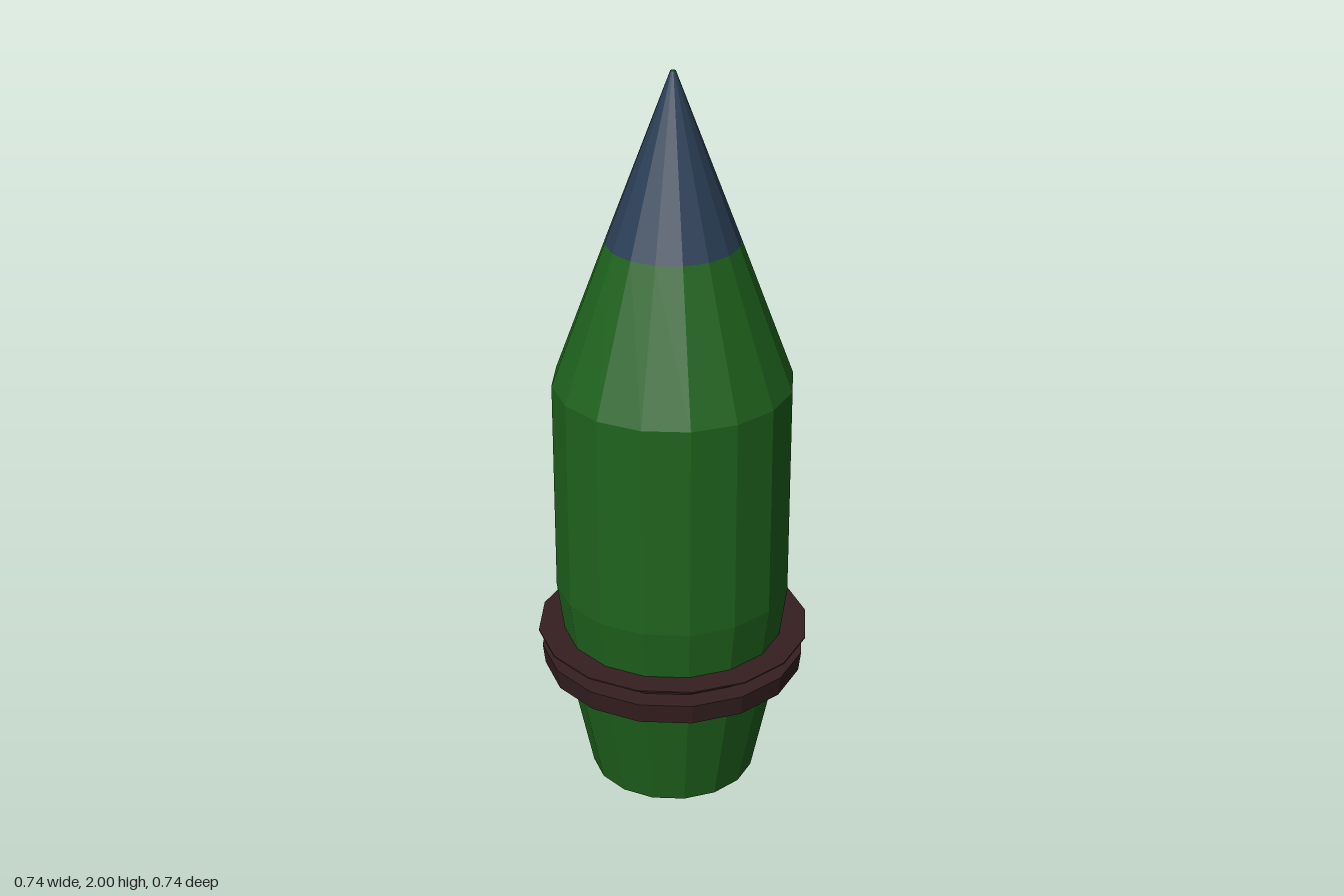
import * as THREE from 'three';

const SIDES = 16;

// Faceted solid of revolution from [radius, height] pairs, bottom to top
function turned(name, color, profile) {
  const points = profile.map(([r, y]) => new THREE.Vector2(r, y));
  const material = new THREE.MeshStandardMaterial({
    color, flatShading: true, side: THREE.DoubleSide,
  });
  const mesh = new THREE.Mesh(new THREE.LatheGeometry(points, SIDES), material);
  mesh.name = name;
  return mesh;
}

export function createModel() {
  const model = new THREE.Group();
  model.name = 'shell';

  // Casing: closed base, flared foot, straight barrel, tapered shoulder
  model.add(turned('casing', 0x1f631d, [
    [0, 0], [0.225, 0], [0.295, 0.335], [0.299, 0.44],
    [0.318, 0.58], [0.318, 1.17], [0.175, 1.555],
  ]));

  // Pointed nose with a tiny blunt cap
  model.add(turned('nose', 0x2b3f57, [[0.175, 1.555], [0.007, 2]]));
  model.add(turned('tipCap', 0x1f631d, [[0.007, 2], [0, 2]]));

  // Grooved band: thick lower ring, recessed neck, thin upper flange
  model.add(turned('band', 0x351f20, [
    [0.29, 0.333], [0.354, 0.333], [0.361, 0.39], [0.304, 0.39],
    [0.312, 0.436], [0.37, 0.436], [0.37, 0.44], [0.295, 0.44],
  ]));

  return model;
}
